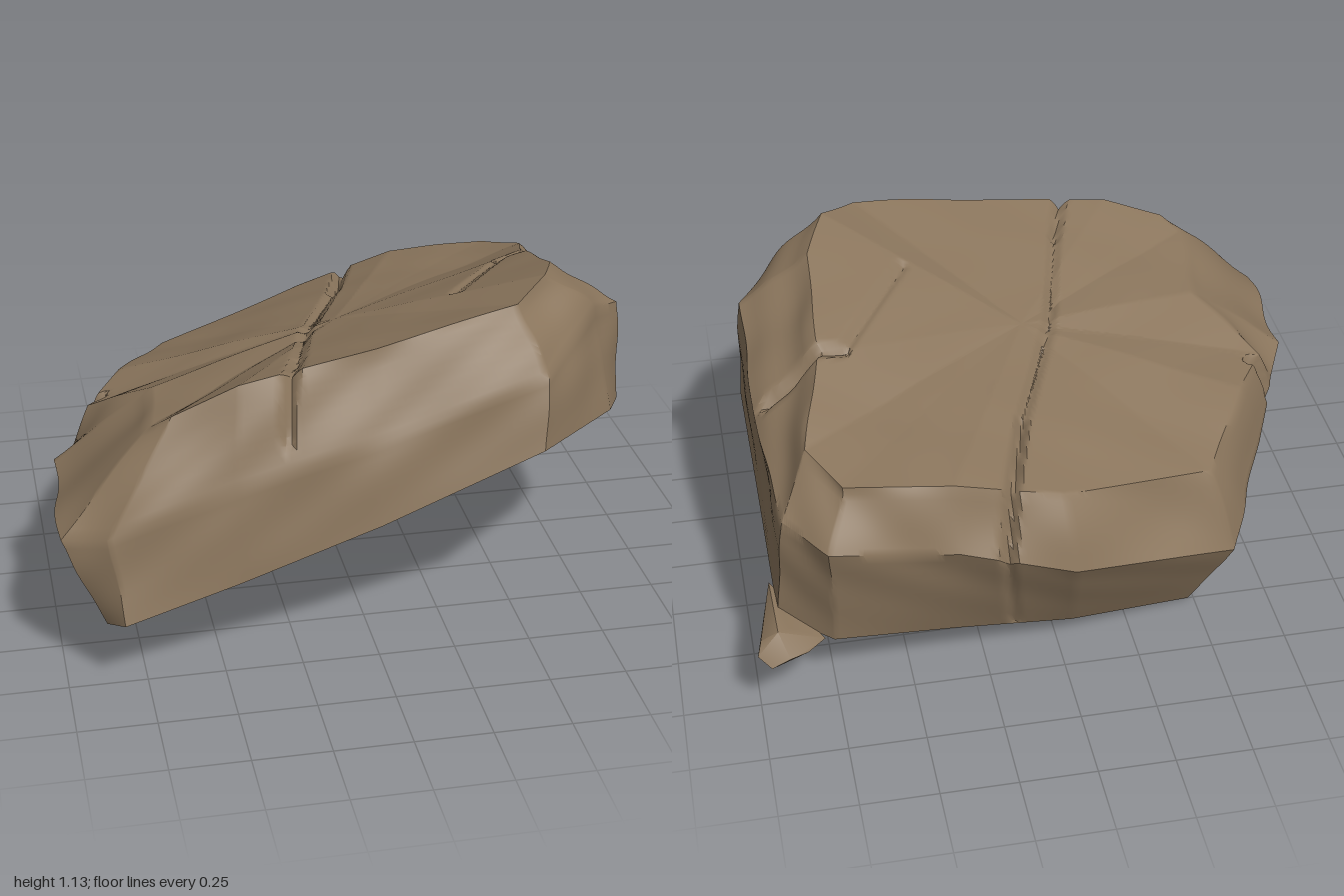
import * as THREE from 'three';
import { toCreasedNormals } from 'three/addons/utils/BufferGeometryUtils.js';
import { ConvexGeometry } from 'three/addons/geometries/ConvexGeometry.js';

// Cross-sections of the slab, walking front-left, left, back, right, front
const LOWER = [
  [-.87, .22, .75], [-.8, .13, .2], [-.78, .11, .03], [-.68, .07, -.2],
  [-.48, 0, -.5], [-.05, .08, -.62], [.35, .16, -.68], [.75, .23, -.74],
  [.92, .29, -.66], [.93, .45, -.2], [.94, .57, .2], [.86, .62, .38],
  [.53, .68, .74], [0, .49, .78], [-.45, .34, .79], [-.82, .25, .83],
];
const MIDDLE = [
  [-1, .5, .69], [-.98, .53, .2], [-.9, .48, .05], [-.8, .4, -.2],
  [-.6, .3, -.63], [-.02, .45, -.82], [.35, .58, -.82], [.75, .63, -.81],
  [.89, .68, -.68], [.92, .77, -.2], [.92, .93, .2], [.8, .98, .34],
  [.56, .9, .67], [0, .75, .72], [-.45, .65, .75], [-.85, .52, .76],
];
const UPPER = [
  [-.69, .8, .57], [-.65, .77, .22], [-.84, .62, .01], [-.71, .64, -.2],
  [-.52, .57, -.54], [0, .68, -.71], [.35, .78, -.73], [.7, .81, -.71],
  [.79, .85, -.55], [.7, .97, -.2], [.68, 1.09, .2], [.61, 1.13, .39],
  [.49, 1.09, .51], [.02, 1.01, .58], [-.42, .935, .61], [-.63, .85, .61],
];
// Crack lines in plan: x, z from start to end, depth
const CRACKS = [
  [.21, -.85, .08, -.42, .035], [.08, -.42, -.1, .02, .02],
  [-.1, .02, -.2, .42, .02], [-.2, .42, -.28, .68, .03],
  [.37, .2, .62, -.18, .015], [.62, -.18, .88, -.22, .03],
  [-.95, -.01, -.8, -.03, .04],
];
const STEPS = 24;

const vec = (a) => new THREE.Vector3(...a);

// Gentle hammered surface
function relief(p) {
  return .007 * (Math.sin(p.x * 9 + Math.sin(p.z * 7) * 1.6) * Math.sin(p.y * 11 + p.z * 6)
    + .5 * Math.sin(p.x * 19 - p.y * 23 + p.z * 13));
}

// Cut the cracks into one surface point
function cut(p) {
  let depth = 0;
  for (const [ax, az, bx, bz, d] of CRACKS) {
    const dx = bx - ax, dz = bz - az;
    const t = THREE.MathUtils.clamp(((p.x - ax) * dx + (p.z - az) * dz) / (dx * dx + dz * dz), 0, 1);
    const dist = Math.hypot(p.x - ax - t * dx, p.z - az - t * dz);
    depth = Math.max(depth, d * Math.max(0, 1 - dist / .028));
  }
  p.x *= 1 - depth;
  p.z *= 1 - depth;
  p.y -= depth;
}

function slabGeometry() {
  const count = LOWER.length * STEPS;
  const ring = (points) => Array.from({ length: count }, (_, i) => {
    const k = Math.floor(i / STEPS);
    return vec(points[k]).lerp(vec(points[(k + 1) % points.length]), (i % STEPS) / STEPS);
  });
  const centre = (p) => Array.from({ length: count }, () => vec(p));
  const rings = [centre([0, .27, 0]), ring(LOWER), ring(MIDDLE), ring(UPPER), centre([0, .86, 0])];
  const rows = [6, 10, 10, 56];
  const positions = [], index = [];
  let total = 0;
  rows.forEach((n, s) => {
    for (let r = 0; r < n + (s === 3 ? 1 : 0); r++, total++) {
      for (let i = 0; i < count; i++) {
        const p = rings[s][i].clone().lerp(rings[s + 1][i], r / n);
        if (s > 0) {
          // Relief fades out along the lower edge and over the broad top
          const w = relief(p) * (s === 1 ? r / n : s === 3 ? .5 : 1);
          p.x *= 1 + w * 1.5;
          p.z *= 1 + w * 1.5;
          p.y += w;
          if (s > 1 || r > 0) cut(p);
        }
        positions.push(p.x, p.y, p.z);
      }
    }
  });
  for (let r = 0; r < total - 1; r++) {
    for (let i = 0; i < count; i++) {
      const j = (i + 1) % count;
      const a = r * count + i, b = r * count + j, c = a + count, d = b + count;
      if (r < total - 2) index.push(a, c, d);
      if (r > 0) index.push(a, d, b);
    }
  }
  const g = new THREE.BufferGeometry();
  g.setAttribute('position', new THREE.Float32BufferAttribute(positions, 3));
  g.setIndex(index);
  return toCreasedNormals(g, .7);
}

// Small wedge-shaped chip clinging to the back right corner
function chipGeometry() {
  const corners = [
    [.78, .24, -.74], [.84, .235, -.79], [.9, .25, -.83], [.96, .225, -.835],
    [1, .26, -.81], [.985, .29, -.77], [.93, .325, -.78], [.89, .31, -.75],
    [.935, .34, -.55], [.92, .3, -.62], [.88, .25, -.72],
  ];
  return toCreasedNormals(new ConvexGeometry(corners.map(vec)), .8);
}

export function createModel() {
  const group = new THREE.Group();
  group.name = 'rock';
  const stone = new THREE.MeshStandardMaterial({ color: 0x8a755c });
  stone.name = 'brown stone';

  const add = (name, geometry) => {
    const mesh = new THREE.Mesh(geometry, stone);
    mesh.name = name;
    group.add(mesh);
  };
  add('slab', slabGeometry());
  add('cornerChip', chipGeometry());
  return group;
}
